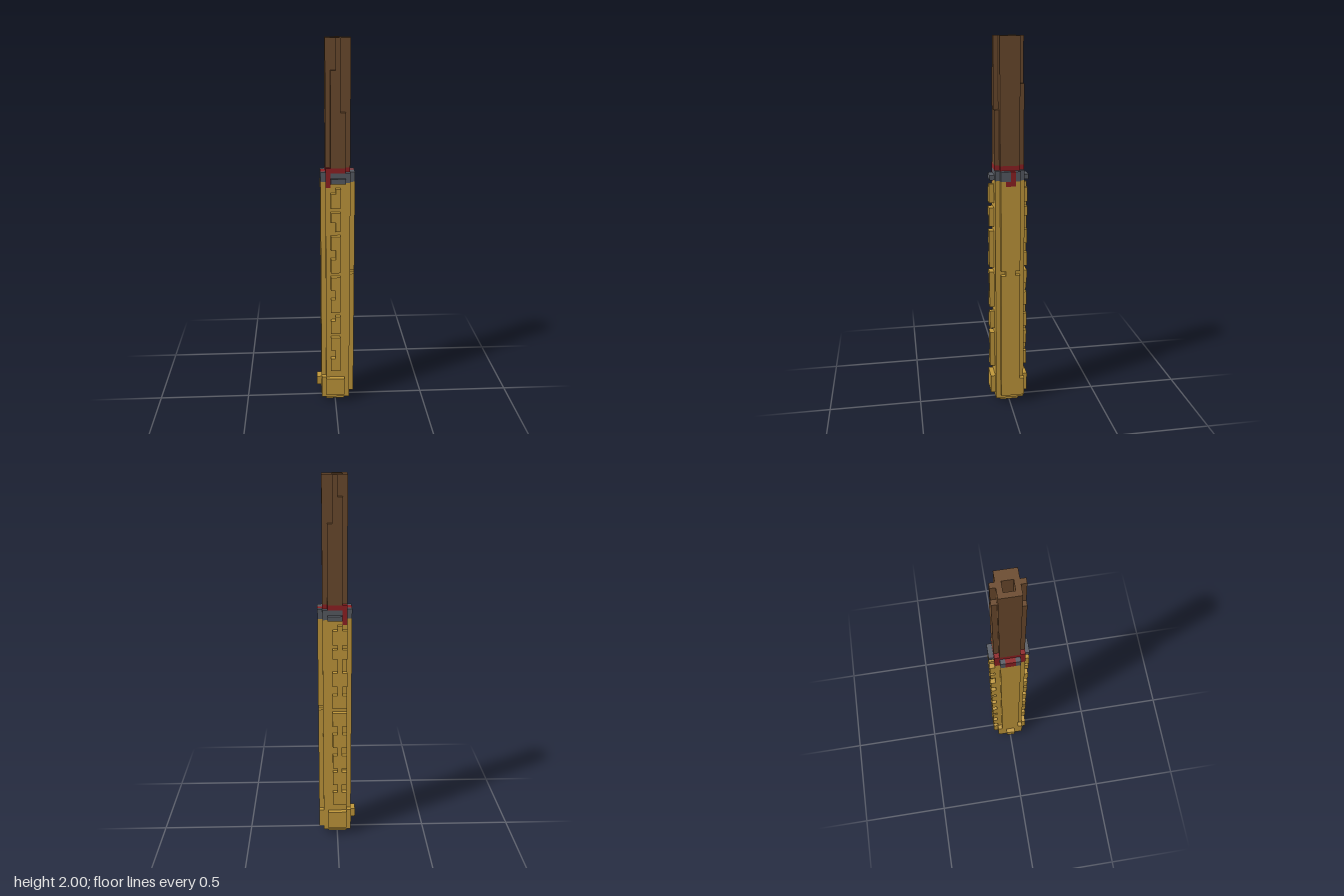
import * as THREE from 'three';
import { mergeGeometries } from 'three/addons/utils/BufferGeometryUtils.js';

const V = 2 / 78; // edge of one voxel
const paint = (name, color) => Object.assign(new THREE.MeshStandardMaterial({ color }), { name });

// Box between voxel grid lines
function block([x0, x1, y0, y1, z0, z1]) {
  const g = new THREE.BoxGeometry((x1 - x0) * V, (y1 - y0) * V, (z1 - z0) * V);
  g.translate((x0 + x1) / 2 * V, (y0 + y1) / 2 * V, (z0 + z1) / 2 * V);
  return g;
}

export function createModel() {
  const gold = paint('gold', 0xc1983b);
  const brown = paint('brown', 0x6b4a2d);
  const red = paint('red', 0x8f2023);
  const grey = paint('grey', 0x575b63);
  const model = new THREE.Group();
  model.name = 'sheathedBlade';
  const add = (name, material, boxes) => {
    const mesh = new THREE.Mesh(mergeGeometries(boxes.map(block)), material);
    mesh.name = name;
    model.add(mesh);
  };

  // Hollow wooden grip: four walls
  add('grip', brown, [
    [-2, -1, 53, 78, -2, 2], [1, 3, 53, 78, -2, 2],
    [-1, 1, 53, 78, -2, -1], [-1, 1, 53, 78, 1, 2],
  ]);
  // Stepped ridges on the front and back of the grip
  add('gripRidges', brown, [
    [-1, 0, 53, 72, 2, 3], [0, 1, 53, 78, 2, 3], [1, 2, 53, 64, 2, 3],
    [-1, 0, 53, 74, -3, -2], [0, 1, 53, 78, -3, -2], [1, 2, 53, 69, -3, -2],
  ]);

  // Red binding with hanging ends
  add('binding', red, [
    [-2, 3, 51, 53, -2, 2], [-2, 2, 52, 53, -3, 3],
    [-2, -1, 49, 52, -3, -2], [-2, -1, 49, 52, 2, 3],
    [-3, -2, 50, 52, -1, 1], [3, 4, 50, 52, -1, 0], [3, 4, 49, 50, -1, 1],
  ]);
  // Grey collar around the mouth of the sheath
  add('collar', grey, [
    [-3, -2, 50, 52, -2, -1], [-3, -2, 50, 52, 1, 2],
    [3, 4, 50, 52, -2, -1], [3, 4, 50, 52, 0, 2],
    [-1, 3, 50, 52, -3, -2], [-1, 3, 50, 52, 2, 3],
    [-1, 2, 50, 51, -4, -3], [-1, 2, 50, 51, 3, 4],
  ]);

  // Sheath body with chamfered corners
  add('sheath', gold, [
    [-2, 3, 2, 50, -2, 2], [-1, 3, 2, 50, -3, 3], [-2, -1, 2, 49, -3, 3],
    [-3, -2, 2, 50, -2, 2],
    [3, 4, 2, 30, -2, 2], [3, 4, 30, 31, -1, 1], [3, 4, 31, 49, -2, 2],
    [3, 4, 49, 50, -2, -1], [3, 4, 49, 50, 1, 2],
  ]);

  // Carved plates: [bottom, top, notch bottom, notch top]
  const plates = [
    [45, 49, 48, 49], [40, 44, 40, 42], [31, 39, 34, 36],
    [22, 30, 25, 27], [17, 21, 20, 21], [8, 16, 11, 13],
  ];
  const front = [], back = [[-1, 0, 31, 49, -4, -3], [-1, 0, 8, 30, -4, -3]];
  for (const [b, t, n0, n1] of plates) {
    front.push([0, 1, b, t, 3, 4]);
    for (const [y0, y1] of [[b, n0], [n1, t]]) {
      if (y1 <= y0) continue;
      front.push([-1, 0, y0, y1, 3, 4]);
      back.push([0, 1, y0, y1, -4, -3], [-2, -1, y0, y1, -4, -3]);
    }
  }
  add('frontCarving', gold, front);
  add('backCarving', gold, back);

  // Thick stepped tip and its side knob
  add('tip', gold, [
    [-2, 2, 0, 1, -2, 2], [-3, 3, 1, 2, -3, 3],
    [-3, 3, 2, 6, -3, 3], [3, 4, 2, 6, -3, 2],
    [-2, 2, 2, 6, -4, 4], [-3, -2, 6, 7, -2, 2],
  ]);
  add('tipKnob', gold, [[-4, -3, 3, 5, -1, 1]]);
  return model;
}
